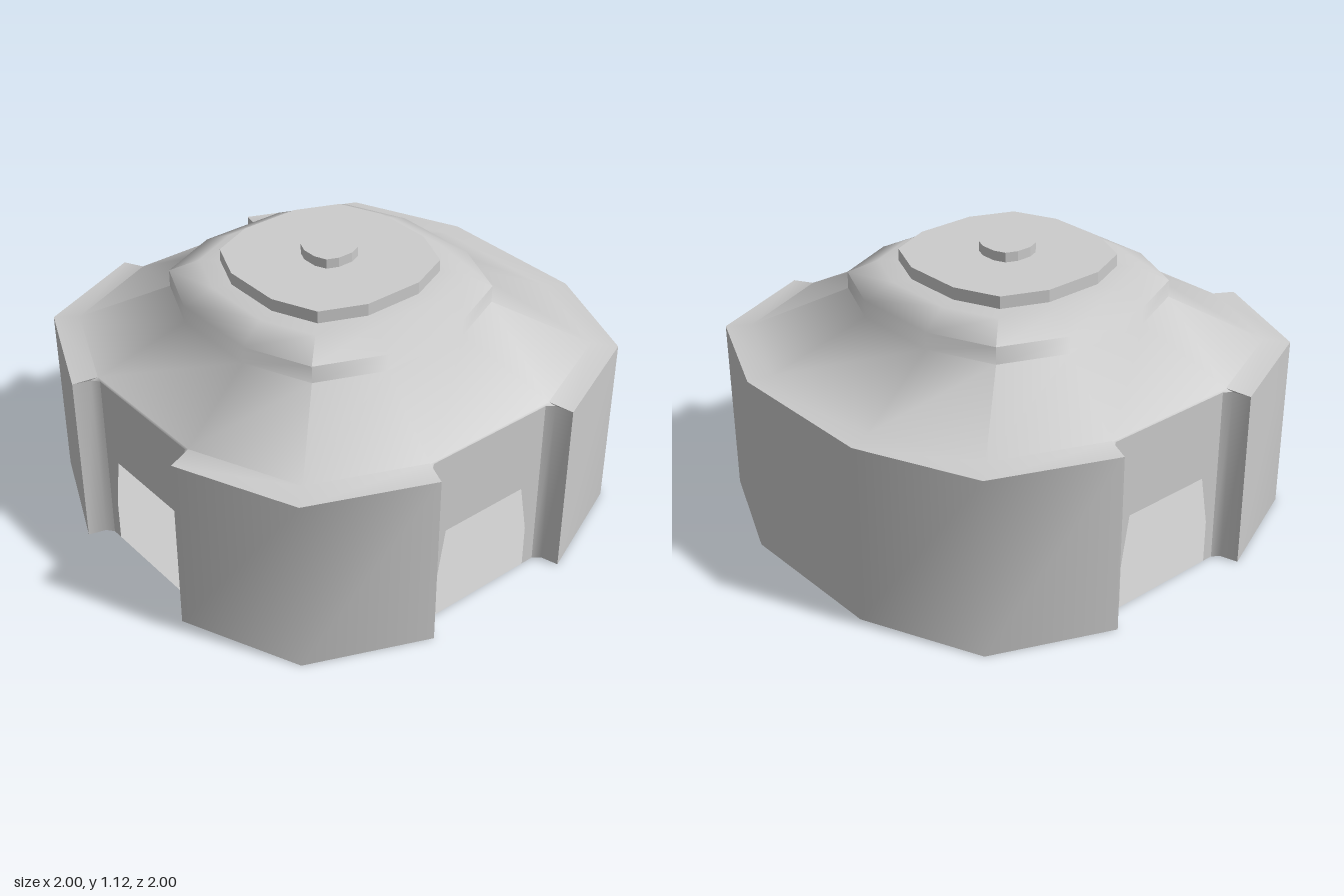
import * as THREE from 'three';
import { toCreasedNormals } from 'three/addons/utils/BufferGeometryUtils.js';

const material = new THREE.MeshStandardMaterial({ color: 0xcccccc, side: THREE.DoubleSide });
const WALL_TOP = 0.73;
const DOME_X = -0.012;

// Twelve-sided plan as [x, z], starting at the front and going round by +x
const PLAN = [
  [0.33, 1], [0.8, 0.8], [1, 0.33], [1, -0.33], [0.8, -0.8], [0.33, -1],
  [-0.33, -1], [-0.8, -0.8], [-1, -0.33], [-1, 0.33], [-0.8, 0.8], [-0.33, 1],
];
// Wall stretches between the back, right and front doors
const RUNS = [[0, 5], [6, 8], [9, 11]];

// Two points stepping in from a corner to the recessed door wall
function jamb([x, z]) {
  return [[0.94, 0.93], [0.85, 0.907]].map(([across, inward]) =>
    Math.abs(z) === 1 ? [x * across, z * inward] : [x * inward, z * across]);
}

function wallRun([first, last]) {
  const points = PLAN.slice(first, last + 1).map((p) => ({ at: p, base: p }));
  const [a, b] = [PLAN[first], PLAN[last]];
  const start = jamb(a).reverse().map((at) => ({ at, base: a }));
  const end = jamb(b).map((at) => ({ at, base: b }));
  return [...start, ...points, ...end];
}

const ring = (points, y, scale = 1, dx = 0) => points.map(([x, z]) => [x * scale + dx, y, z * scale]);

// Skin a stack of cross-sections, listed from the bottom up
function loft(rows, closed, crease) {
  const n = rows[0].length;
  const index = [];
  for (let r = 0; r < rows.length - 1; r++) {
    for (let i = 0; i < (closed ? n : n - 1); i++) {
      const j = (i + 1) % n;
      const [a, b, c, d] = [r * n + i, r * n + j, (r + 1) * n + j, (r + 1) * n + i];
      index.push(a, b, c, a, c, d);
    }
  }
  const geometry = new THREE.BufferGeometry();
  geometry.setAttribute('position', new THREE.Float32BufferAttribute(rows.flat(2), 3));
  geometry.setIndex(index);
  return toCreasedNormals(geometry, crease);
}

// Recessed wall panel with a tapered doorway
function doorPanel(shift) {
  const opening = [[-0.235, 0], [-0.235, 0.18], [-0.2, 0.39], [0.19, 0.39], [0.23, 0.18], [0.23, 0]];
  const outline = [[0.281, 0], [0.281, WALL_TOP], [-0.281, WALL_TOP], [-0.281, 0]];
  const points = [...outline, ...opening.map(([x, y]) => [x + shift, y])];
  return new THREE.ShapeGeometry(new THREE.Shape(points.map(([x, y]) => new THREE.Vector2(x, y))));
}

export function createModel() {
  const group = new THREE.Group();
  const add = (name, geometry) => {
    const mesh = new THREE.Mesh(geometry, material);
    mesh.name = name;
    group.add(mesh);
    return mesh;
  };

  // Outer walls with stepped jambs
  const runs = RUNS.map(wallRun);
  for (const run of runs) {
    const points = run.map((p) => p.at);
    add('outerWall', loft([ring(points, 0), ring(points, WALL_TOP)], false, 0.9));
  }

  // Doorways at the front, back and right
  const doors = [['frontDoorway', 0, -0.005], ['backDoorway', Math.PI, 0.005], ['rightDoorway', -Math.PI / 2, 0]];
  for (const [name, angle, shift] of doors) {
    const door = add(name, doorPanel(shift));
    door.rotation.y = angle;
    door.position.set(Math.sin(angle) * 0.907, 0, Math.cos(angle) * 0.907);
  }

  // Floor
  const outline = runs.flat();
  const floor = new THREE.Shape(outline.map(({ at: [x, z] }) => new THREE.Vector2(x, -z)));
  add('floor', new THREE.ShapeGeometry(floor).rotateX(-Math.PI / 2));

  // Sloping roof rising to a raised collar
  const base = outline.map((p) => p.base);
  add('roof', loft([
    ring(outline.map((p) => p.at), WALL_TOP),
    ring(base, 0.74, 0.905),
    ring(base, 0.91, 0.56, DOME_X),
    ring(base, 0.98, 0.56, DOME_X),
    ring(base, 1.035, 0.45, DOME_X),
    ring(base, 1.035, 0.3, DOME_X),
  ], true, 1.2));

  // Stacked cap and central knob
  for (const [name, size, low, high] of [['cap', 0.378, 1.03, 1.085], ['knob', 0.098, 1.08, 1.125]]) {
    add(name, loft([
      ring(PLAN, low, size, DOME_X),
      ring(PLAN, high, size, DOME_X),
      ring(PLAN, high, 0, DOME_X),
    ], true, 0.2));
  }
  return group;
}
